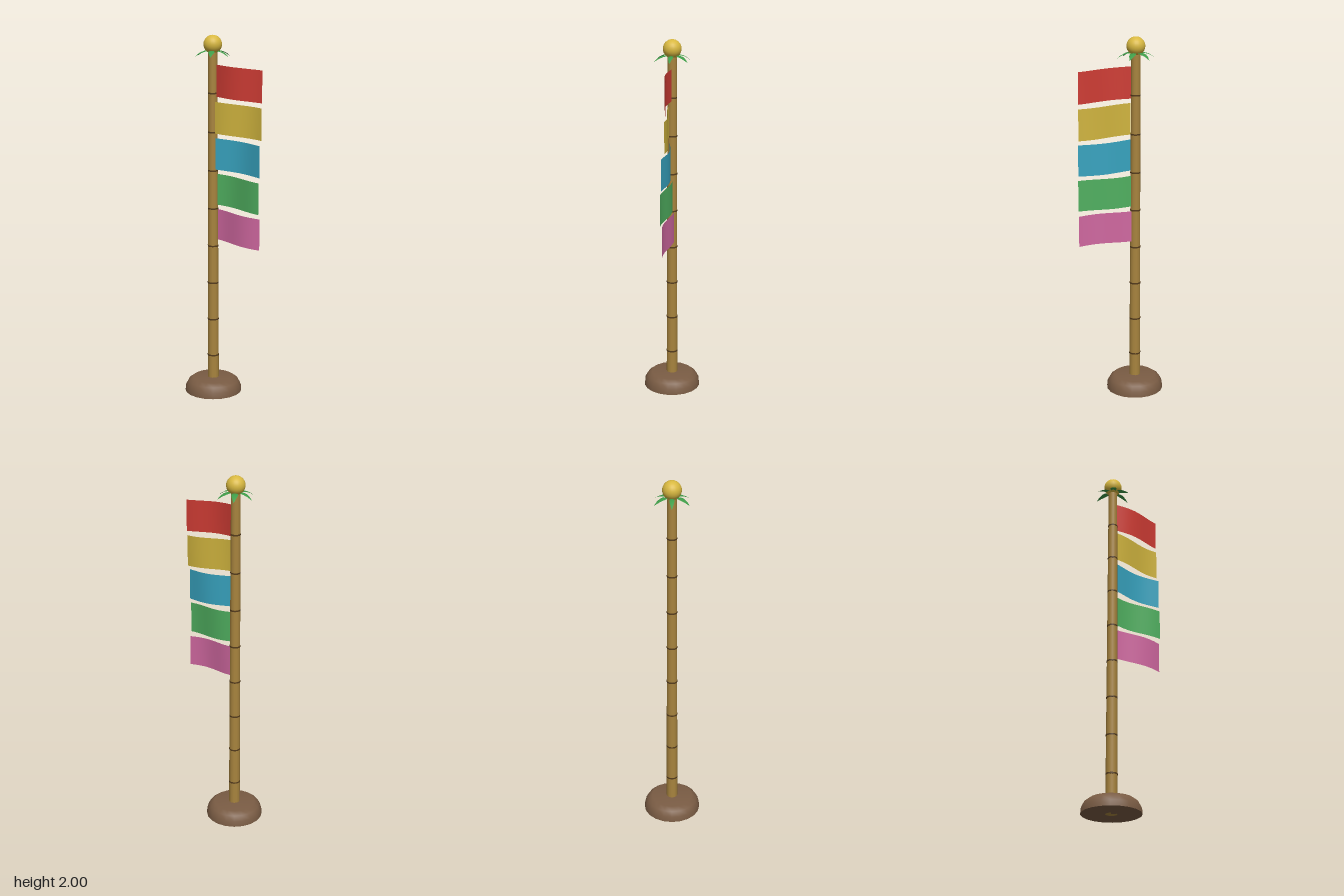
import * as THREE from 'three';

const mat = (name, color, side = THREE.FrontSide) => {
  const m = new THREE.MeshStandardMaterial({ color, side });
  m.name = name;
  return m;
};

// A surface through rows of points, facing both ways
function sheet(rows) {
  const n = rows[0].length, pos = rows.flat(2), idx = [];
  for (let i = 0; i < rows.length - 1; i++)
    for (let j = 0; j < n - 1; j++) {
      const a = i * n + j, b = a + n;
      idx.push(a, a + 1, b, a + 1, b + 1, b);
    }
  const g = new THREE.BufferGeometry();
  g.setAttribute('position', new THREE.Float32BufferAttribute(pos, 3));
  g.setIndex(idx);
  g.computeVertexNormals();
  return g;
}

export function createModel() {
  const group = new THREE.Group();
  const DS = THREE.DoubleSide;
  const bamboo = mat('bamboo', 0xa8843e);
  const joint = mat('dark joint', 0x553c1c);
  const earth = mat('earth brown', 0x7a5c44);
  const gold = mat('gold', 0xd8b840);
  const leafGreen = mat('leaf green', 0x3f9c48, DS);
  const flagMats = [
    mat('red cloth', 0xcf3c34, DS), mat('yellow cloth', 0xd0b43e, DS),
    mat('blue cloth', 0x38a4c0, DS), mat('green cloth', 0x50b060, DS),
    mat('pink cloth', 0xd068a0, DS),
  ];
  const PX = -0.078;
  const add = (name, geo, m, x = PX, y = 0, z = 0) => {
    const mesh = new THREE.Mesh(geo, m);
    mesh.name = name;
    mesh.position.set(x, y, z);
    group.add(mesh);
    return mesh;
  };

  // Rounded mound base with a flat underside
  const profile = [[0.159, 0], [0.156, 0.032], [0.141, 0.06], [0.116, 0.078], [0, 0.08]]
    .map(([r, y]) => new THREE.Vector2(r, y));
  add('base', new THREE.LatheGeometry(profile, 20), earth);
  add('baseUnderside', new THREE.CircleGeometry(0.159, 20).rotateX(Math.PI / 2), earth);

  // Bamboo pole in nine tapering lengths, with a dark joint between each
  const COUNT = 9, STEP = 1.9 / COUNT;
  const radius = (y) => 0.0315 - 0.0065 * (y / 1.9);
  for (let i = 0; i < COUNT; i++) {
    const y = i * STEP;
    add('poleSegment', new THREE.CylinderGeometry(radius(y + STEP), radius(y), STEP, 12), bamboo, PX, y + STEP / 2);
    if (i) add('poleJoint', new THREE.CylinderGeometry(radius(y) + 0.0015, radius(y) + 0.0015, 0.008, 12), joint, PX, y);
  }
  add('poleTip', new THREE.CylinderGeometry(0.024, 0.025, 0.03, 12), bamboo, PX, 1.91);

  // Finial ball
  add('finial', new THREE.SphereGeometry(0.05, 24, 16), gold, PX, 1.95);

  // Six drooping leaves under the ball
  const spine = [[0.015, 1.912, 0.5], [0.04, 1.917, 0.95], [0.06, 1.913, 1], [0.082, 1.902, 0.6], [0.105, 1.884, 0]];
  for (let i = 0; i < 6; i++) {
    const w = i % 3 ? 0.017 : 0.013;
    const rows = spine.map(([r, y, k]) => [[r, y - 0.003 * k, w * k], [r, y, 0], [r, y - 0.003 * k, -w * k]]);
    add('leaf', sheet(rows), leafGreen).rotation.y = (i * Math.PI) / 3;
  }

  // Five rippling flags, each sagging a little at the free end
  const X0 = -0.054, X1 = 0.235, N = 14;
  flagMats.forEach((m, i) => {
    const rows = [];
    for (let s = 0; s <= N; s++) {
      const t = s / N, x = X0 + (X1 - X0) * t;
      const z = 0.015 * Math.sin(4.4 * t + 1.2 * i);
      const top = 1.843 - 0.198 * i - 0.02 * t;
      rows.push([[x, top, z], [x, top - 0.172, z]]);
    }
    add('flag', sheet(rows), m, 0);
  });

  return group;
}
